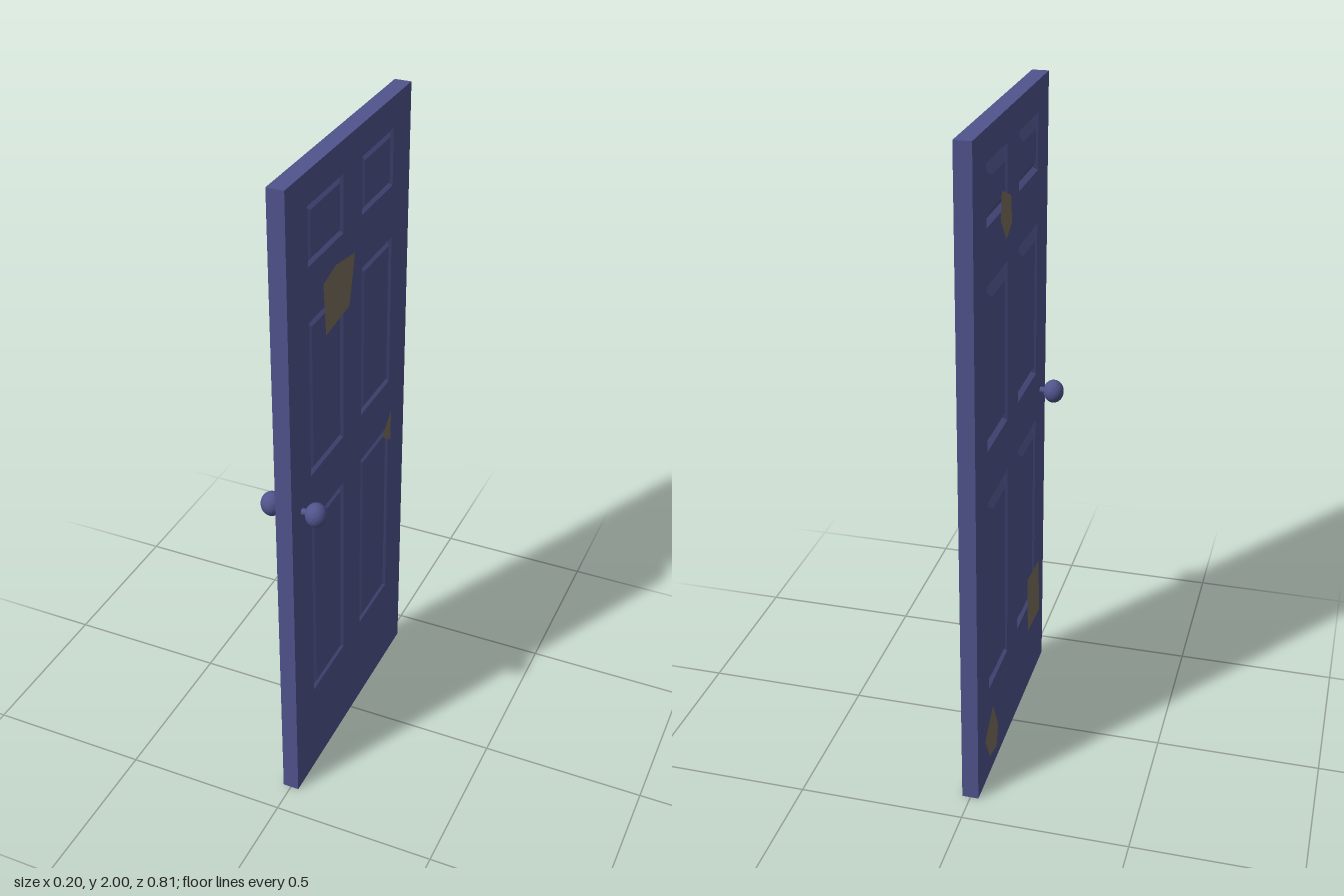
import * as THREE from 'three';

const blue = new THREE.MeshStandardMaterial({ color: 0x50548c, flatShading: true });
const tan = new THREE.MeshStandardMaterial({ color: 0x7a705e, side: THREE.DoubleSide });

const W = 0.405, H = 2, T = 0.025;
// panel openings as [low, high] ranges
const columns = [[-0.28, -0.065], [0.06, 0.28]];
const rows = [[0.31, 0.94], [1.1, 1.58], [1.74, 1.91]];
const openings = columns.flatMap(z => rows.map(y => ({ z, y })));

// moulding profiles: [inset from opening, distance from the door's middle plane]
const shallow = [[0, T], [0.01, 0.017], [0.02, 0.024]];
const raised = [[0, T], [0.012, 0.012], [0.04, 0.028]];

const rect = (x0, x1, y0, y1) => [[x0, y0], [x1, y0], [x1, y1], [x0, y1]];
const toPoints = list => list.map(([x, y]) => new THREE.Vector2(x, y));

function add(group, name, geometry, material) {
  const mesh = new THREE.Mesh(geometry, material);
  mesh.name = name;
  group.add(mesh);
  return mesh;
}

// nested rectangles joined into mitred slopes, closed by a flat field
function panelGeometry([x0, x1], [y0, y1], profile) {
  const loops = profile.map(([d, h]) =>
    rect(x0 + d, x1 - d, y0 + d, y1 - d).map(([x, y]) => [x, y, h]));
  const pos = [];
  const quad = (a, b, c, d) => pos.push(...a, ...b, ...c, ...a, ...c, ...d);
  for (let i = 0; i < loops.length - 1; i++) {
    for (let k = 0; k < 4; k++) {
      const n = (k + 1) % 4;
      quad(loops[i][k], loops[i][n], loops[i + 1][n], loops[i + 1][k]);
    }
  }
  quad(...loops[loops.length - 1]);
  const geometry = new THREE.BufferGeometry();
  geometry.setAttribute('position', new THREE.Float32BufferAttribute(pos, 3));
  geometry.computeVertexNormals();
  return geometry;
}

// worn patches as [z, y] outlines, for each face of the door
const patches = {
  1: [
    [[0.19, 1.65], [0.11, 1.67], [-0.015, 1.65], [0.02, 1.505], [0.175, 1.49]],
    [[-0.23, 0.925], [-0.3, 0.98], [-0.3, 0.875]],
  ],
  [-1]: [
    [[-0.138, 1.8], [-0.04, 1.76], [-0.03, 1.68], [-0.09, 1.65], [-0.148, 1.72]],
    [[0.178, 0.42], [0.326, 0.41], [0.346, 0.21], [0.188, 0.22]],
    [[-0.247, 0.23], [-0.188, 0.12], [-0.207, 0.05], [-0.286, 0.07], [-0.336, 0.16]],
  ],
};

export function createModel() {
  const door = new THREE.Group();
  door.name = 'door';

  // slab with six openings
  const outline = new THREE.Shape(toPoints(rect(-W, W, 0, H)));
  for (const { z, y } of openings) {
    outline.holes.push(new THREE.Path(toPoints(rect(-z[1], -z[0], ...y).reverse())));
  }
  const slab = new THREE.ExtrudeGeometry(outline, { depth: 2 * T, bevelEnabled: false });
  slab.translate(0, 0, -T).rotateY(Math.PI / 2);
  add(door, 'slab', slab, blue);

  for (const side of [1, -1]) {
    const face = new THREE.Group();
    face.name = side > 0 ? 'leftFace' : 'rightFace';
    face.rotation.y = side * Math.PI / 2; // local +z points out of the face
    door.add(face);

    // panels
    for (const { z, y } of openings) {
      const across = side > 0 ? [-z[1], -z[0]] : z;
      add(face, 'panel', panelGeometry(across, y, side > 0 ? shallow : raised), blue);
    }

    // worn patches lying on the surface
    for (const patch of patches[side]) {
      const shape = new THREE.Shape(toPoints(patch.map(([z, y]) => [-side * z, y])));
      const mesh = add(face, 'wornPatch', new THREE.ShapeGeometry(shape), tan);
      mesh.position.z = side > 0 ? 0.0258 : 0.0285;
    }

    // knob on its stem
    const stem = add(face, 'knobStem', new THREE.CylinderGeometry(0.01, 0.01, 0.03, 12), blue);
    stem.rotation.x = Math.PI / 2;
    stem.position.set(-side * 0.34, 1.02, 0.036);
    const knob = add(face, 'knob', new THREE.IcosahedronGeometry(1, 3), blue);
    knob.scale.set(0.032, 0.037, 0.032);
    knob.position.set(-side * 0.34, 1.02, 0.068);
  }
  return door;
}
